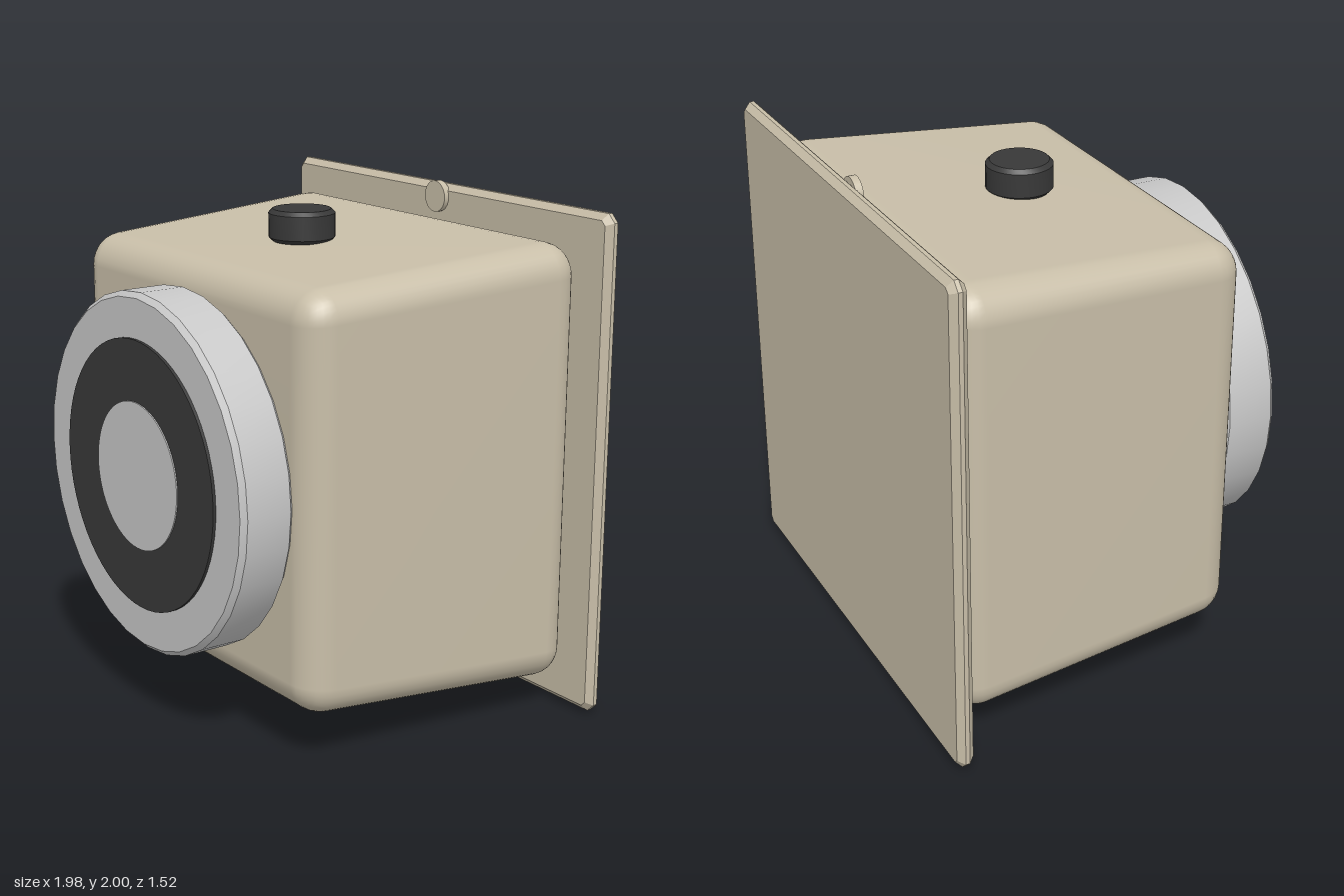
import * as THREE from 'three';
import { mergeVertices, toCreasedNormals } from 'three/addons/utils/BufferGeometryUtils.js';
import { RoundedBoxGeometry } from 'three/addons/geometries/RoundedBoxGeometry.js';

const material = (name, color) => {
  const m = new THREE.MeshStandardMaterial({ color });
  m.name = name;
  return m;
};

// Upright disc with chamfered rims, centred on its own axis
function chamferedDisc(radius, height, chamfer, sides) {
  const h = height / 2;
  const profile = [
    [0, -h], [radius - chamfer, -h], [radius, -h + chamfer],
    [radius, h - chamfer], [radius - chamfer, h], [0, h],
  ].map(([x, y]) => new THREE.Vector2(x, y));
  return toCreasedNormals(new THREE.LatheGeometry(profile, sides), 0.5);
}

// Rounded box that narrows towards the front
function taperedBody() {
  const half = 0.8, depth = 1.21, midZ = -0.085;
  let g = new RoundedBoxGeometry(half * 2, half * 2, depth, 4, 0.12);
  g.translate(0, 0, midZ);
  const p = g.attributes.position;
  for (let i = 0; i < p.count; i++) {
    const s = 1 + (0.4 - p.getZ(i)) * 0.069 / half;
    p.setXY(i, p.getX(i) * s, p.getY(i) * s);
  }
  g.deleteAttribute('normal');
  g.deleteAttribute('uv');
  g = mergeVertices(g, 1e-4);
  g.computeVertexNormals();
  return g;
}

// Square plate with clipped corners and bevelled edges
function bevelledPlate() {
  const a = 0.963, c = 0.945, bevel = 0.025, thickness = 0.067;
  const shape = new THREE.Shape([
    [a, -c], [a, c], [c, a], [-c, a], [-a, c], [-a, -c], [-c, -a], [c, -a],
  ].map(([x, y]) => new THREE.Vector2(x, y)));
  return new THREE.ExtrudeGeometry(shape, {
    depth: thickness - 2 * bevel, bevelEnabled: true,
    bevelThickness: bevel, bevelSize: bevel, bevelSegments: 1,
  }).translate(0, 0, bevel);
}

export function createModel() {
  const model = new THREE.Group();
  model.name = 'wallBox';
  const beige = material('beige', 0xc8bea8);
  const silver = material('silver', 0xc8c8c8);
  const black = material('black', 0x383838);

  const add = (name, geometry, mat, x, y, z) => {
    const mesh = new THREE.Mesh(geometry, mat);
    mesh.name = name;
    mesh.position.set(x, y, z);
    model.add(mesh);
    return mesh;
  };

  // Housing and mounting plate
  add('housing', taperedBody(), beige, 0, 1.001, 0);
  add('mountingPlate', bevelledPlate(), beige, 0, 1.001, -0.758);

  // Screws at the top and bottom of the plate
  for (const [name, y] of [['topScrew', 1.9375], ['bottomScrew', 0.0645]]) {
    const screw = new THREE.CylinderGeometry(0.063, 0.063, 0.03, 24).rotateX(Math.PI / 2);
    add(name, screw, beige, 0, y, -0.685);
  }

  // Round front: rim, dark ring and centre disc
  add('frontRim', chamferedDisc(0.702, 0.225, 0.02, 32).rotateX(Math.PI / 2), silver, 0, 1.002, 0.6275);
  add('darkRing', new THREE.CylinderGeometry(0.527, 0.527, 0.02, 64).rotateX(Math.PI / 2), black, 0, 1.002, 0.742);
  add('centreDisc', new THREE.CylinderGeometry(0.288, 0.288, 0.009, 64).rotateX(Math.PI / 2), silver, 0, 1.002, 0.7525);

  // Push button on top
  add('topButton', chamferedDisc(0.13, 0.125, 0.016, 32), black, 0, 1.888, -0.01);

  return model;
}
